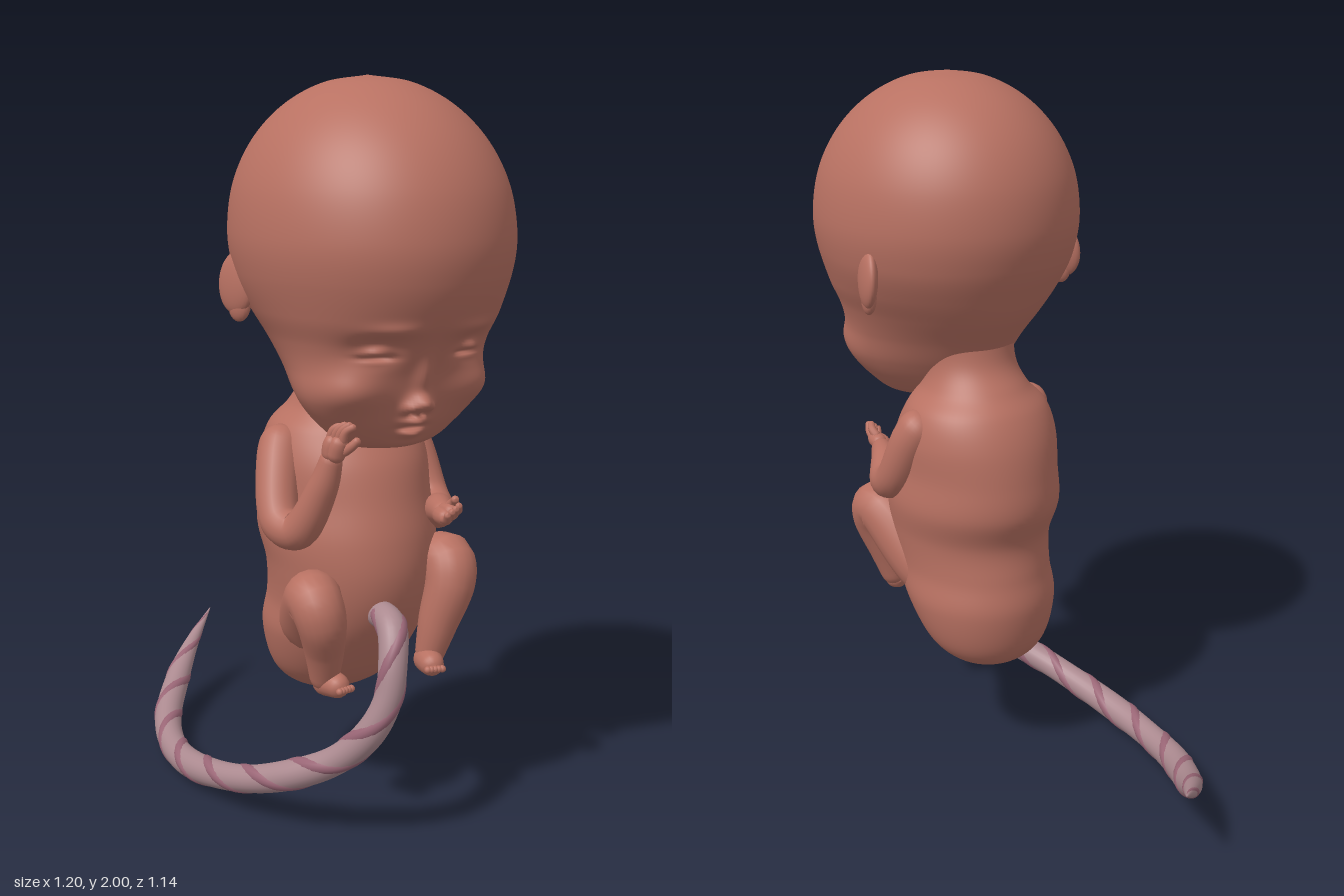
import * as THREE from 'three';

const skin = new THREE.MeshStandardMaterial({ color: 0xb87162 });
const cordSkin = new THREE.MeshStandardMaterial({ color: 0xac8a90 });
const vessel = new THREE.MeshStandardMaterial({ color: 0x9a6676 });

// Smooth interpolation through the rows of a table, t = 0..1
function sample(table, t) {
  const n = table.length - 1, f = Math.min(t * n, n - 1e-6), i = Math.floor(f), u = f - i;
  return table[i].map((p1, k) => {
    const p2 = table[i + 1][k];
    const p0 = i > 0 ? table[i - 1][k] : 2 * p1 - p2;
    const p3 = i + 2 <= n ? table[i + 2][k] : 2 * p2 - p1;
    return p1 + 0.5 * u * (p2 - p0 + u * (2 * p0 - 5 * p1 + 4 * p2 - p3 + u * (3 * (p1 - p2) + p3 - p0)));
  });
}

// Closed rings joined into a skin; point(v, angle) returns [x, y, z]
function loft(rows, cols, point) {
  const pos = [], index = [];
  for (let i = 0; i <= rows; i++)
    for (let j = 0; j < cols; j++) {
      pos.push(...point(i / rows, (j / cols) * Math.PI * 2, i));
      if (i === rows) continue;
      const a = i * cols + j, b = i * cols + (j + 1) % cols;
      index.push(a, b, a + cols, b, b + cols, a + cols);
    }
  const g = new THREE.BufferGeometry();
  g.setAttribute('position', new THREE.Float32BufferAttribute(pos, 3));
  g.setIndex(index);
  g.computeVertexNormals();
  return g;
}

function add(parent, name, geometry, material = skin) {
  const m = new THREE.Mesh(geometry, material);
  m.name = name;
  parent.add(m);
  return m;
}

function addGroup(parent, name) {
  const g = new THREE.Group();
  g.name = name;
  parent.add(g);
  return g;
}

// Round-ended tube through rows of [x, y, z, radius]
function limb(pts, rows = 40, cols = 20) {
  const curve = new THREE.CatmullRomCurve3(pts.map(p => new THREE.Vector3(p[0], p[1], p[2])));
  curve.arcLengthDivisions = 600;
  const L = curve.getLength(), { normals, binormals } = curve.computeFrenetFrames(rows);
  const r0 = pts[0][3] / L, r1 = pts[pts.length - 1][3] / L;
  const cap = (u, e) => (u < e ? Math.sqrt(Math.max(0, 1 - (1 - u / e) ** 2)) : 1);
  return loft(rows, cols, (u, th, i) => {
    const t = curve.getUtoTmapping(u);
    const r = Math.max(0, sample(pts.map(p => [p[3]]), t)[0]) * cap(u, r0) * cap(1 - u, r1);
    return curve.getPoint(t)
      .addScaledVector(normals[i], r * Math.cos(th))
      .addScaledVector(binormals[i], r * Math.sin(th)).toArray();
  });
}

// Body section from [y, back, front, halfWidth]; egg widens the front half
function section([y, back, front, hw], th, egg = 0) {
  const c = Math.cos(th);
  return [hw * Math.sin(th) * (1 + egg * c), y, (back + front) / 2 + ((front - back) / 2) * c];
}

const torsoRows = [
  [0.295, 0.06, 0.06, 0], [0.315, -0.03, 0.15, 0.1], [0.38, -0.088, 0.25, 0.175], [0.5, -0.114, 0.35, 0.215],
  [0.6, -0.1, 0.41, 0.212], [0.7, -0.09, 0.435, 0.222], [0.8, -0.125, 0.43, 0.238], [0.9, -0.122, 0.405, 0.228],
  [1.0, -0.105, 0.375, 0.226], [1.08, -0.07, 0.33, 0.202], [1.14, -0.02, 0.3, 0.15], [1.21, 0.03, 0.3, 0.13],
  [1.32, 0.05, 0.32, 0.14],
];

const headRows = [
  [1.06, 0.36, 0.36, 0], [1.075, 0.25, 0.45, 0.11], [1.13, 0.15, 0.505, 0.18], [1.2, 0.085, 0.535, 0.228],
  [1.28, 0.025, 0.56, 0.252], [1.35, -0.03, 0.6, 0.28], [1.42, -0.07, 0.645, 0.316], [1.51, -0.11, 0.68, 0.348],
];
for (let k = 0; k <= 5; k++) {
  const f = (k * Math.PI) / 10, c = Math.cos(f), mid = 0.28 - 0.02 * Math.sin(f);
  headRows.push([1.61 + 0.39 * Math.sin(f), mid - 0.41 * c, mid + 0.41 * c, 0.36 * c]);
}

// Face relief: [x, y, spread x, spread y, height]; x off the middle is mirrored
const relief = [
  [0.17, 1.235, 0.07, 0.06, 0.035],   // cheeks
  [0.11, 1.395, 0.06, 0.018, 0.012],  // brows
  [0.13, 1.345, 0.055, 0.032, -0.03], // eye sockets
  [0.135, 1.338, 0.034, 0.02, 0.032], // lids
  [0.13, 1.325, 0.034, 0.007, -0.024], // lid slits
  [0, 1.2, 0.028, 0.024, 0.045],      // nose tip
  [0, 1.27, 0.022, 0.05, 0.018],      // nose bridge
  [0.03, 1.19, 0.014, 0.014, 0.018],  // nostril wings
  [0.016, 1.173, 0.009, 0.007, -0.018], // nostrils
  [0, 1.152, 0.03, 0.011, 0.026],     // upper lip
  [0, 1.117, 0.028, 0.012, 0.022],    // lower lip
  [0, 1.134, 0.034, 0.007, -0.02],    // mouth
  [0, 1.08, 0.05, 0.02, 0.012],       // chin
];

function headPoint(v, angle) {
  const th = angle - 0.45 * Math.sin(angle); // denser columns at the face
  const row = sample(headRows, v);
  const p = section(row, th, 0.33 * (1 - THREE.MathUtils.smoothstep(row[0], 1.15, 1.5)));
  const front = Math.max(0, Math.cos(th));
  if (front > 0 && p[1] < 1.55) {
    let d = 0;
    for (const [x, y, sx, sy, h] of relief)
      d += h * Math.exp(-(((Math.abs(p[0]) - x) / sx) ** 2) - ((p[1] - y) / sy) ** 2);
    d *= Math.min(1, front * 2.5);
    p[0] += d * Math.sin(th);
    p[2] += d * Math.cos(th);
  }
  return p;
}

// Palm, four short fingers and a thumb; dir = finger direction, across = palm width
function hand(parent, name, at, dir, across, curl) {
  const g = addGroup(parent, name);
  const P = new THREE.Vector3(...at), D = new THREE.Vector3(...dir).normalize();
  const A = new THREE.Vector3(...across).normalize(), C = new THREE.Vector3(...curl).normalize();
  const pt = (d, a, c, r) => [...P.clone().addScaledVector(D, d).addScaledVector(A, a).addScaledVector(C, c).toArray(), r];
  for (const s of [-0.01, 0.01])
    add(g, 'palm', limb([pt(-0.035, s * 0.5, 0, 0.024), pt(0.01, s, 0, 0.024), pt(0.038, s, 0.004, 0.017)], 20, 14));
  for (let k = 0; k < 4; k++) {
    const a = (k - 1.5) * 0.013, l = 0.074 - 0.005 * Math.abs(k - 1.5);
    add(g, 'finger', limb([pt(0.015, a, 0, 0.012), pt(0.05, a, 0.006, 0.011), pt(l, a, 0.03, 0.009)], 20, 10));
  }
  add(g, 'thumb', limb([pt(-0.01, 0.012, 0.01, 0.013), pt(0.015, 0.028, 0.022, 0.012), pt(0.035, 0.026, 0.038, 0.01)], 20, 10));
}

// Foot from heel to toes
function foot(parent, name, heel, toe) {
  const g = addGroup(parent, name);
  const h = new THREE.Vector3(...heel), t = new THREE.Vector3(...toe), mid = h.clone().lerp(t, 0.55);
  add(g, 'sole', limb([[...heel, 0.036], [mid.x, mid.y + 0.006, mid.z, 0.036], [...toe, 0.027]], 24, 16));
  const side = t.clone().sub(h).setY(0).normalize().cross(new THREE.Vector3(0, 1, 0));
  for (let k = -2; k <= 2; k++)
    add(g, 'toe', new THREE.SphereGeometry(0.01, 12, 8)).position.copy(t).addScaledVector(side, k * 0.01);
}

export function createModel() {
  const model = new THREE.Group();
  model.name = 'unbornBaby';
  const body = addGroup(model, 'body');
  body.rotation.y = Math.PI / 4;
  const trunk = addGroup(body, 'trunk');
  trunk.position.x = 0.022;

  add(trunk, 'torso', loft(90, 64, (v, th) => section(sample(torsoRows, v), th)));
  add(trunk, 'head', loft(170, 150, headPoint));

  // Ears: flattened, flared to the back, with a smaller lobe below
  for (const s of [-1, 1]) {
    const ear = addGroup(trunk, s > 0 ? 'leftEar' : 'rightEar');
    ear.position.set(s * 0.325, 1.48, 0.165);
    ear.rotation.set(0.12, -s * 0.3, s * 0.1);
    add(ear, 'shell', new THREE.SphereGeometry(1, 28, 20)).scale.set(0.024, 0.082, 0.066);
    const lobe = add(ear, 'lobe', new THREE.SphereGeometry(1, 20, 14));
    lobe.scale.set(0.02, 0.045, 0.038);
    lobe.position.set(-s * 0.006, -0.055, 0.012);
  }

  // Arms: right hand raised to the mouth, left forearm held forward
  add(body, 'rightArm', limb([[-0.15, 1.08, 0.13, 0.06], [-0.195, 1.0, 0.18, 0.06], [-0.235, 0.86, 0.275, 0.053],
    [-0.215, 0.85, 0.335, 0.05], [-0.18, 0.98, 0.41, 0.04], [-0.165, 1.08, 0.44, 0.026]], 60));
  hand(body, 'rightHand', [-0.168, 1.085, 0.45], [0.05, 1, 0.2], [0.4, 0, 0.9], [0.6, 0, 0.5]);
  add(body, 'leftArm', limb([[0.19, 1.08, 0.12, 0.06], [0.225, 1.0, 0.155, 0.06], [0.245, 0.87, 0.225, 0.053],
    [0.235, 0.84, 0.285, 0.05], [0.185, 0.87, 0.38, 0.04], [0.15, 0.88, 0.465, 0.026]], 60));
  hand(body, 'leftHand', [0.145, 0.885, 0.475], [-0.15, 0.1, 1], [0.8, 0.5, 0], [-0.3, 0.7, 0.2]);

  // Folded legs and feet
  add(body, 'rightLeg', limb([[-0.05, 0.5, 0.08, 0.08], [-0.11, 0.565, 0.22, 0.095], [-0.18, 0.665, 0.36, 0.074],
    [-0.175, 0.62, 0.388, 0.068], [-0.15, 0.52, 0.36, 0.054], [-0.135, 0.4, 0.33, 0.034]], 60));
  foot(body, 'rightFoot', [-0.14, 0.412, 0.3], [-0.115, 0.42, 0.415]);
  add(body, 'leftLeg', limb([[0.09, 0.5, 0.08, 0.08], [0.145, 0.58, 0.22, 0.095], [0.21, 0.725, 0.38, 0.076],
    [0.203, 0.68, 0.412, 0.07], [0.168, 0.56, 0.41, 0.054], [0.14, 0.44, 0.4, 0.034]], 60));
  foot(body, 'leftFoot', [0.148, 0.455, 0.37], [0.12, 0.46, 0.48]);

  // Umbilical cord: tapered tube [x, y, z, radius]
  const path = [
    [0.26, 0.6, 0.26, 0.035], [0.3, 0.615, 0.315, 0.038], [0.335, 0.6, 0.365, 0.04], [0.35, 0.53, 0.41, 0.038],
    [0.345, 0.44, 0.43, 0.037], [0.3, 0.34, 0.435, 0.04], [0.2, 0.24, 0.42, 0.039], [0.05, 0.16, 0.39, 0.041],
    [-0.1, 0.105, 0.335, 0.038], [-0.3, 0.055, 0.2, 0.041], [-0.42, 0.044, 0.07, 0.039], [-0.505, 0.06, -0.08, 0.041],
    [-0.555, 0.11, -0.27, 0.038], [-0.567, 0.175, -0.41, 0.024], [-0.562, 0.255, -0.575, 0.001],
  ];
  const cord = addGroup(model, 'umbilicalCord');
  add(cord, 'cord', limb(path, 140, 24), cordSkin);

  // Two broad vessels wound around the cord
  const curve = new THREE.CatmullRomCurve3(path.map(p => new THREE.Vector3(p[0], p[1], p[2])));
  const n = 150, { normals, binormals } = curve.computeFrenetFrames(n);
  for (const phase of [0, Math.PI]) {
    const wound = [];
    for (let i = 4; i <= n - 2; i++) {
      const u = i / n, t = curve.getUtoTmapping(u), r = sample(path, t)[3], w = phase + u * Math.PI * 11;
      const p = curve.getPoint(t).addScaledVector(normals[i], r * 0.55 * Math.cos(w))
        .addScaledVector(binormals[i], r * 0.55 * Math.sin(w));
      wound.push([p.x, p.y, p.z, r * 0.52]);
    }
    add(cord, 'vessel', limb(wound, 300, 14), vessel);
  }
  return model;
}
